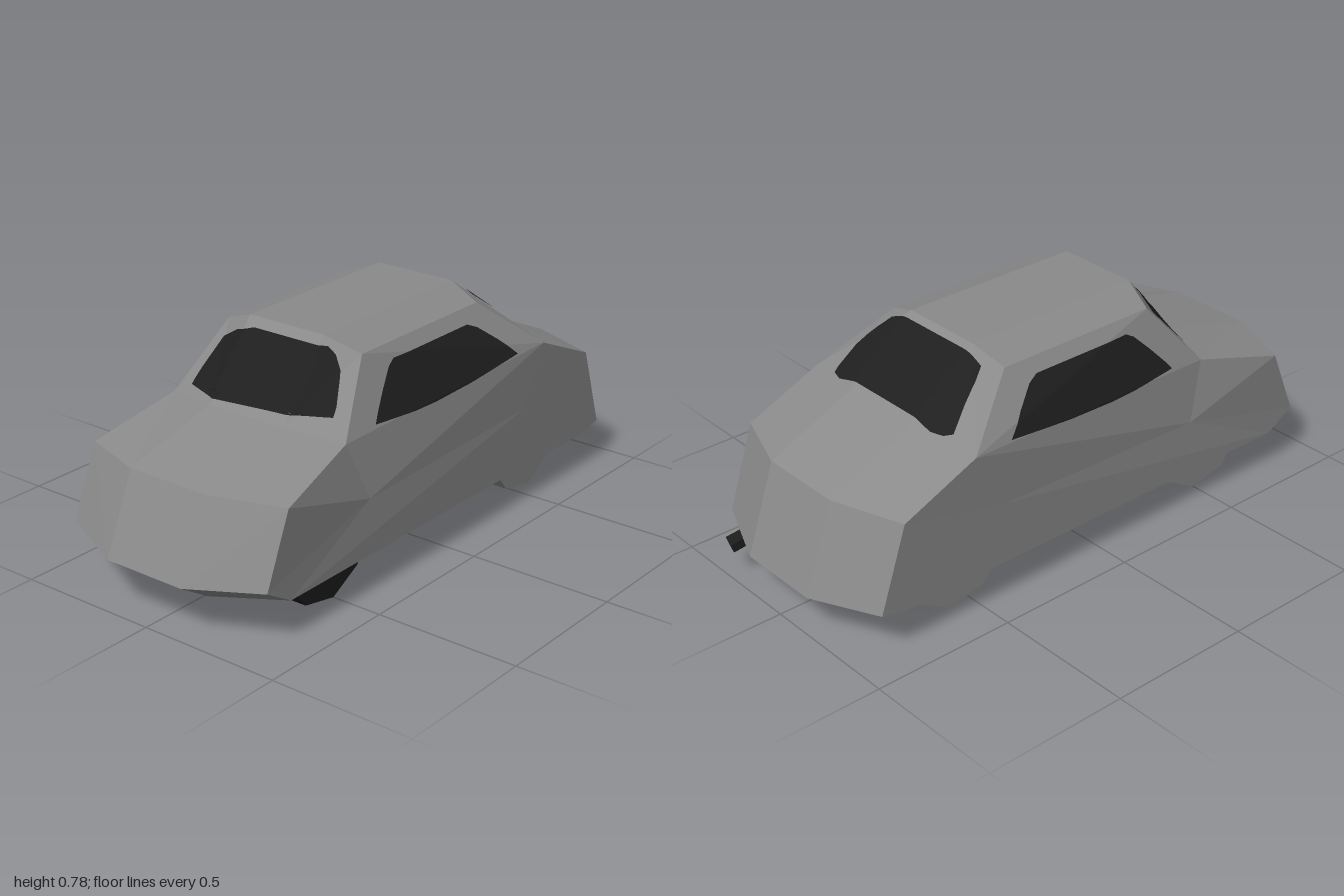
import * as THREE from 'three';

const mat = (name, color) => {
  const m = new THREE.MeshStandardMaterial({ color });
  m.name = name;
  return m;
};
const V = (x, y, z) => new THREE.Vector3(x, y, z);

// Faceted mesh from triangles, each turned to face along outward(centroid)
function facets(name, tris, material, outward) {
  const pts = [];
  for (const [a, b, c] of tris) {
    const n = b.clone().sub(a).cross(c.clone().sub(a));
    const mid = a.clone().add(b).add(c).divideScalar(3);
    pts.push(...(n.dot(outward(mid)) < 0 ? [a, c, b] : [a, b, c]));
  }
  const g = new THREE.BufferGeometry().setFromPoints(pts);
  g.computeVertexNormals();
  const mesh = new THREE.Mesh(g, material);
  mesh.name = name;
  return mesh;
}

// Thin panel laid on a surface: rows are [v, uStart, uEnd], cast along dir
function panel(name, target, rows, toOrigin, dir, material) {
  const ray = new THREE.Raycaster(), cols = 28, steps = 5;
  const lift = dir.clone().multiplyScalar(-0.005);
  const grid = [];
  for (let k = 0; k <= (rows.length - 1) * steps; k++) {
    const r = Math.min(Math.floor(k / steps), rows.length - 2), t = k / steps - r;
    const [v, u0, u1] = rows[r].map((value, i) => THREE.MathUtils.lerp(value, rows[r + 1][i], t));
    const line = [];
    for (let i = 0; i <= cols; i++) {
      ray.set(toOrigin(u0 + (u1 - u0) * i / cols, v), dir);
      const hit = ray.intersectObject(target)[0];
      line.push(hit ? hit.point.clone().add(lift) : line[line.length - 1]);
    }
    grid.push(line);
  }
  const tris = [];
  for (let r = 0; r < grid.length - 1; r++)
    for (let i = 0; i < cols; i++) {
      const a = grid[r][i], b = grid[r][i + 1], c = grid[r + 1][i + 1], d = grid[r + 1][i];
      if (a && b && c && d) tris.push([a, b, c], [a, c, d]);
    }
  return facets(name, tris, material, () => lift);
}

function flat(geometry) {
  const g = geometry.toNonIndexed();
  g.computeVertexNormals();
  return g;
}

export function createModel() {
  const car = new THREE.Group();
  car.name = 'car';
  const paint = mat('greyPaint', 0x8a8a8a);
  const glass = mat('darkGlass', 0x1f1f1f);
  const rubber = mat('blackRubber', 0x1c1c1c);
  const under = mat('underbodyDark', 0x20182e);
  const navy = mat('underbodyNavy', 0x1c1c48);

  // Matching profiles: centre section [z, y] and flank [x, y, z]
  const centre = [[0.885, 0.108], [1, 0.18], [0.885, 0.443], [0.53, 0.535], [0.33, 0.778],
    [-0.335, 0.778], [-0.59, 0.58], [-0.895, 0.445], [-1, 0.14], [-0.89, 0.11]];
  const flank = [[0.395, 0.135, 0.79], [0.395, 0.198, 0.895], [0.395, 0.435, 0.795],
    [0.35, 0.515, 0.475], [0.27, 0.733, 0.295], [0.27, 0.733, -0.31], [0.395, 0.557, -0.53],
    [0.395, 0.44, -0.805], [0.395, 0.155, -0.9], [0.395, 0.135, -0.81],
    [0.386, 0.32, 0.4], [0.394, 0.35, -0.42]];
  // Flank triangles; points 10 and 11 lie on the door line
  const flankFaces = [[4, 5, 6], [4, 6, 3], [3, 6, 10], [6, 11, 10], [2, 3, 10], [1, 2, 10],
    [0, 1, 10], [0, 10, 11], [0, 11, 9], [9, 11, 8], [8, 11, 7], [7, 11, 6]];

  const shell = [], floor = [];
  const quad = (list, a, b, c, d) => list.push([a, b, c], [a, c, d]);
  const mid = s => centre.map(([z, y]) => V(s * 0.15, y, z));
  const right = mid(1), left = mid(-1);
  for (let i = 0; i < 10; i++) {
    const list = i === 9 ? floor : shell;
    quad(list, left[i], right[i], right[(i + 1) % 10], left[(i + 1) % 10]);
  }
  for (const s of [1, -1]) {
    const m = mid(s), f = flank.map(([x, y, z]) => V(s * x, y, z));
    for (let i = 0; i < 10; i++) {
      const j = (i + 1) % 10;
      quad(i === 9 ? floor : shell, m[i], f[i], f[j], m[j]);
    }
    for (const t of flankFaces) shell.push(t.map(k => f[k]));
  }
  const body = facets('body', shell, paint, p => p.clone().sub(V(0, 0.35, 0)));
  const underside = facets('underside', floor, under, () => V(0, -1, 0));
  car.add(body, underside);

  // Windows
  car.add(panel('windscreen', body,
    [[0.553, -0.28, -0.15], [0.565, -0.28, 0.06], [0.575, -0.278, 0.28], [0.6, -0.273, 0.275],
      [0.69, -0.245, 0.235], [0.73, -0.18, 0.205], [0.751, -0.11, 0.175]],
    (x, y) => V(x, y, 3), V(0, 0, -1), glass));
  car.add(panel('rearWindow', body,
    [[-0.36, -0.22, 0.22], [-0.4, -0.24, 0.25], [-0.46, -0.26, 0.28], [-0.53, -0.29, 0.285],
      [-0.55, -0.265, 0.28], [-0.565, -0.22, 0.235]],
    (x, z) => V(x, 3, z), V(0, -1, 0), glass));
  for (const s of [1, -1])
    car.add(panel(s > 0 ? 'leftWindow' : 'rightWindow', body,
      [[0.525, 0.15, 0.05], [0.535, 0.335, -0.13], [0.56, 0.315, -0.385], [0.62, 0.26, -0.32],
        [0.675, 0.205, -0.25], [0.692, 0.175, -0.21]],
      (z, y) => V(s * 3, y, z), V(-s, 0, 0), glass));

  // Underbody markings: tunnel, cross members and side runs
  const marks = [[0.5, -0.58, -0.07, 0.07], [0.36, 0.27, -0.24, 0.24], [-0.06, -0.17, -0.28, 0.28],
    [-0.36, -0.44, -0.2, 0.2], [0.21, 0, 0.12, 0.2], [0.21, 0, -0.2, -0.12],
    [-0.2, -0.33, -0.23, -0.14], [-0.2, -0.33, 0.14, 0.23]];
  const below = (x, z) => V(x, -1, z), up = V(0, 1, 0);
  marks.forEach(([z0, z1, x0, x1], i) => car.add(panel('underbodyMark' + (i + 1), underside,
    [[z0, x0, x1], [z1, x0, x1]], below, up, navy)));

  // Nine-sided wheels; one is a bare tyre with a grey hub
  const disc = (r, w) => flat(new THREE.CylinderGeometry(r, r, w, 9, 1, false, -1.725).rotateZ(Math.PI / 2));
  for (const s of [1, -1])
    for (const z of [0.53, -0.55]) {
      const bare = s > 0 && z > 0;
      const wheel = new THREE.Mesh(disc(0.2, 0.112), bare ? rubber : paint);
      wheel.name = (z > 0 ? 'front' : 'rear') + (s > 0 ? 'Left' : 'Right') + 'Wheel';
      wheel.position.set(s * 0.264, 0.198, z);
      car.add(wheel);
      if (bare) {
        const hub = new THREE.Mesh(disc(0.117, 0.008), paint);
        hub.name = 'wheelHub';
        hub.position.set(0.319, 0.198, z);
        car.add(hub);
      }
    }

  // Flat exhaust pipe and the dark recess around it
  car.add(panel('exhaustRecess', body, [[-0.865, 0.24, 0.34], [-0.925, 0.24, 0.34]], below, up, rubber));
  const pipe = new THREE.Mesh(new THREE.BoxGeometry(0.055, 0.03, 0.11), rubber);
  pipe.name = 'exhaustPipe';
  pipe.position.set(0.272, 0.126, -0.935);
  pipe.rotation.set(-0.35, -0.33, 0, 'YXZ');
  car.add(pipe);
  return car;
}
